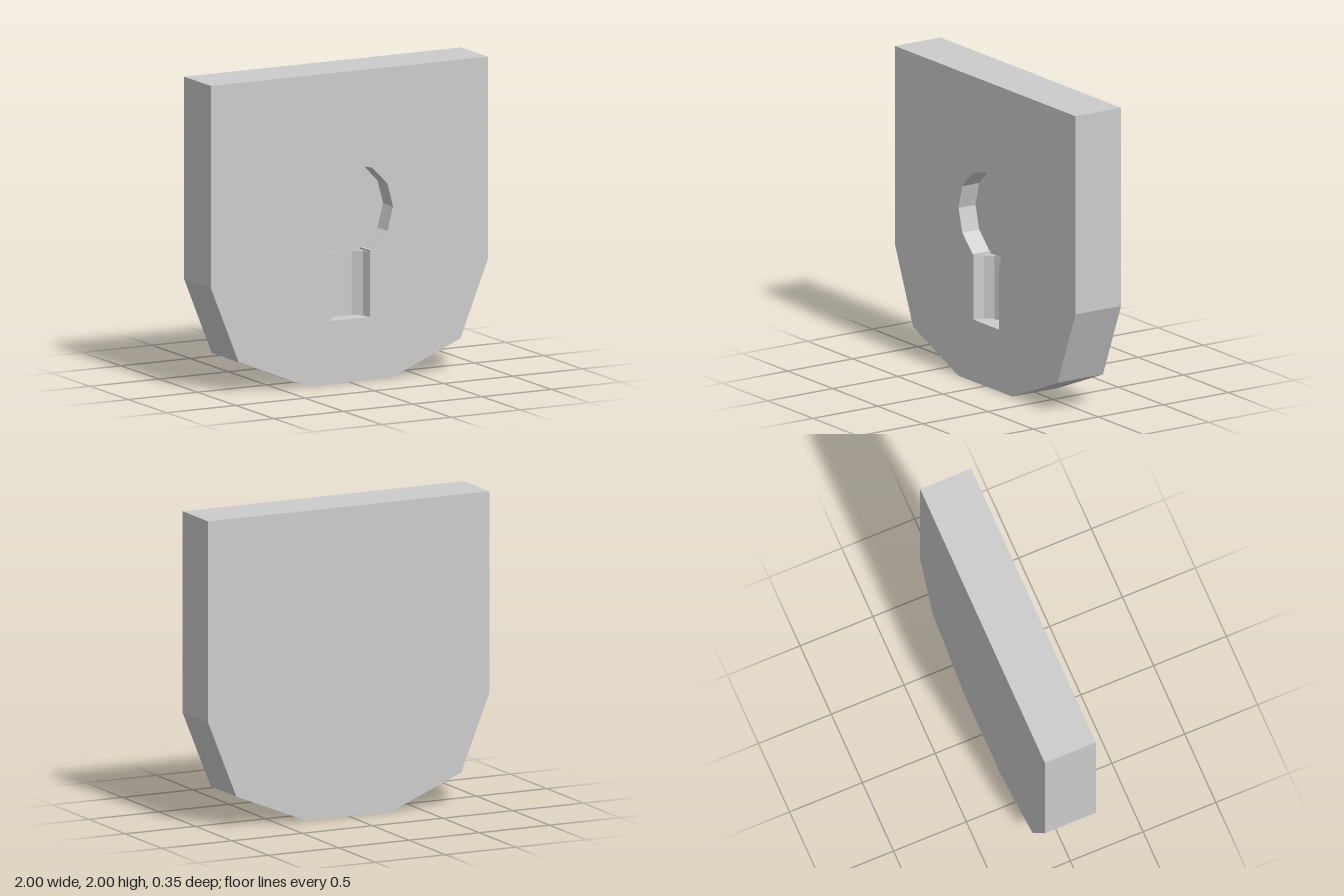
import * as THREE from 'three';

const HALF = 0.175;      // half the plate thickness
const RECESS = 0.13;     // depth of the keyhole recess
const CX = 0.01;         // keyhole centre line
const SLOT = 0.14;       // half width of the slot
const SLOT_BOTTOM = 0.405;

const points = (list) => list.map(([x, y]) => new THREE.Vector2(x, y));

export function createModel() {
  const group = new THREE.Group();
  const material = new THREE.MeshStandardMaterial({ color: 0xcccccc, flatShading: true });

  const add = (name, geometry) => {
    const mesh = new THREE.Mesh(geometry, material);
    mesh.name = name;
    group.add(mesh);
    return mesh;
  };
  const extrude = (shape, depth) =>
    new THREE.ExtrudeGeometry(shape, { depth, bevelEnabled: false });

  // Shield outline, flat on top and faceted below
  const outline = points([
    [-1, 2], [-1, 0.7], [-0.8, 0.205], [-0.3, 0],
    [0.3, 0], [0.8, 0.205], [1, 0.7], [1, 2],
  ]);

  // Keyhole: twelve-sided circle, open at the bottom into a straight slot
  const keyhole = [];
  for (let i = -2; i <= 8; i++) {
    const a = (i * Math.PI) / 6;
    keyhole.push([CX + 0.305 * Math.cos(a), 1.1 + 0.305 * Math.sin(a)]);
  }
  keyhole.push([CX - SLOT, 0.833], [CX - SLOT, SLOT_BOTTOM]);
  keyhole.push([CX + SLOT, SLOT_BOTTOM], [CX + SLOT, 0.833]);

  // Solid back layer, its front face is the recess floor
  add('backPlate', extrude(new THREE.Shape(outline), 2 * HALF - RECESS))
    .position.z = -HALF;

  // Front layer pierced by the keyhole
  const front = new THREE.Shape(outline);
  front.holes.push(new THREE.Path(points(keyhole)));
  add('frontPlate', extrude(front, RECESS)).position.z = HALF - RECESS;

  // Faceted fillets that round the slot's floor, as [offset, depth]
  const fillet = [[SLOT, 0], [0.127, 0.07], [0.075, 0.118], [0.02, RECESS], [SLOT, RECESS]];
  for (const side of [1, -1]) {
    const section = new THREE.Shape(points(fillet.map(([o, d]) => [CX + side * o, d - HALF])));
    add(side > 0 ? 'leftSlotFillet' : 'rightSlotFillet',
      extrude(section, 0.82 - SLOT_BOTTOM).rotateX(-Math.PI / 2))
      .position.y = SLOT_BOTTOM;
  }

  return group;
}
